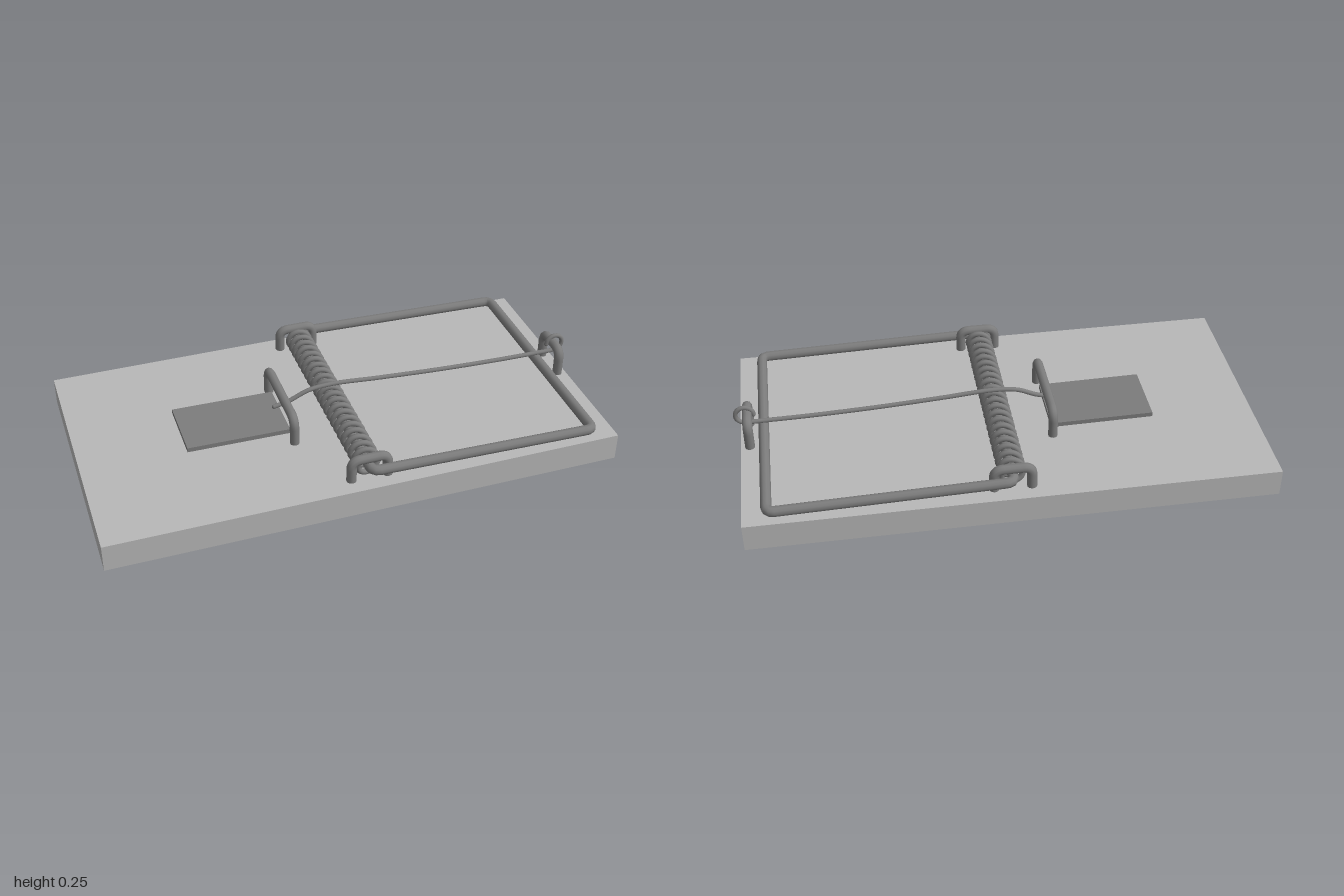
import * as THREE from 'three';

export function createModel() {
  const group = new THREE.Group();
  const boardGrey = new THREE.MeshStandardMaterial({ color: 0xb8b8b8 });
  boardGrey.name = 'boardGrey';
  const metalGrey = new THREE.MeshStandardMaterial({ color: 0x7c7c7c });
  metalGrey.name = 'metalGrey';

  const V = (x, y, z) => new THREE.Vector3(x, y, z);
  function add(name, geometry, material) {
    const mesh = new THREE.Mesh(geometry, material);
    mesh.name = name;
    group.add(mesh);
    return mesh;
  }

  // Straight wire runs joined by small rounded bends
  function bentPath(points, bend, closed = false) {
    const path = new THREE.CurvePath();
    const n = points.length;
    const toward = (a, b) => a.clone().add(b.clone().sub(a).setLength(bend));
    let last = closed ? toward(points[0], points[1]) : points[0];
    for (let i = 1; i < (closed ? n + 1 : n - 1); i++) {
      const p = points[i % n];
      const before = toward(p, points[i - 1]);
      const after = toward(p, points[(i + 1) % n]);
      path.add(new THREE.LineCurve3(last, before));
      path.add(new THREE.QuadraticBezierCurve3(before, p, after));
      last = after;
    }
    if (!closed) path.add(new THREE.LineCurve3(last, points[n - 1]));
    return path;
  }

  // Wire with round ends when it is open
  function wire(name, curve, radius, segments, closed = false) {
    add(name, new THREE.TubeGeometry(curve, segments, radius, 10, closed), metalGrey);
    if (closed) return;
    for (const t of [0, 1]) {
      add(name + 'End', new THREE.SphereGeometry(radius, 10, 8), metalGrey)
        .position.copy(curve.getPoint(t));
    }
  }

  // Wooden base
  add('board', new THREE.BoxGeometry(1.98, 0.108, 1.04), boardGrey).position.set(-0.01, 0.054, 0);

  // Bait plate and the upright bracket at its edge
  const plate = add('baitPlate', new THREE.BoxGeometry(0.4, 0.018, 0.255), metalGrey);
  plate.position.set(-0.4, 0.127, -0.008);
  plate.rotation.z = -0.015;
  wire('plateBracket', bentPath(
    [V(-0.2, 0.1, 0.175), V(-0.2, 0.217, 0.175), V(-0.2, 0.217, -0.175), V(-0.2, 0.1, -0.175)], 0.04), 0.018, 80);

  // Closed hammer frame, with its rear bar running through the spring
  wire('hammerFrame', bentPath(
    [V(0, 0.157, 0.482), V(0.89, 0.134, 0.482), V(0.89, 0.134, -0.482), V(0, 0.157, -0.482)], 0.03, true),
  0.02, 240, true);

  // Coil spring
  class Helix extends THREE.Curve {
    getPoint(t, target = new THREE.Vector3()) {
      const a = t * 22 * Math.PI * 2;
      return target.set(0.043 * Math.sin(a), 0.16 + 0.043 * Math.cos(a), (t - 0.5) * 0.9);
    }
  }
  const helix = new Helix();
  helix.arcLengthDivisions = 1500;
  wire('spring', helix, 0.011, 440);

  // Staples holding the spring ends
  for (const z of [-0.452, 0.452]) {
    wire('springStaple', bentPath(
      [V(-0.07, 0.1, z), V(-0.07, 0.196, z), V(0.07, 0.196, z), V(0.07, 0.1, z)], 0.035), 0.019, 60);
  }

  // Staple that the locking bar hooks around
  wire('barStaple', bentPath(
    [V(0.945, 0.1, 0.07), V(0.945, 0.215, 0.07), V(0.945, 0.215, -0.07), V(0.945, 0.1, -0.07)], 0.04), 0.019, 60);

  // Locking bar, arched over the spring, ending in a looped eye
  const bar = [
    V(-0.228, 0.162, 0), V(-0.17, 0.175, 0), V(-0.09, 0.208, 0), V(0, 0.217, 0), V(0.2, 0.203, 0),
    V(0.45, 0.187, 0), V(0.7, 0.177, 0), V(0.88, 0.174, 0)];
  for (let i = 0; i <= 9; i++) {
    const a = -Math.PI / 2 + i * Math.PI / 6;
    bar.push(V(0.955 + 0.034 * Math.cos(a), 0.208 + 0.034 * Math.sin(a), 0));
  }
  wire('lockingBar', new THREE.CatmullRomCurve3(bar), 0.009, 200);

  return group;
}
